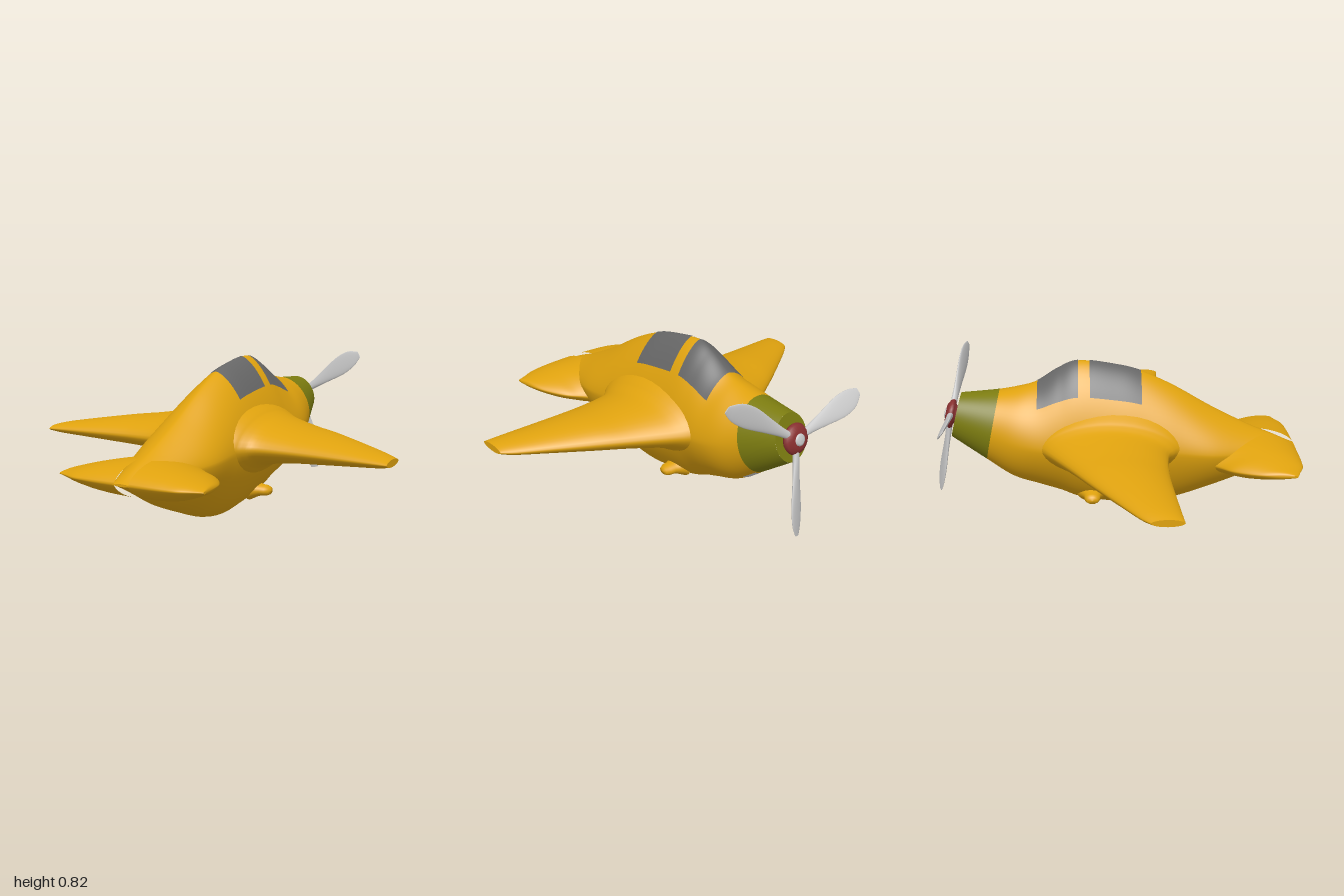
import * as THREE from 'three';
import { mergeVertices, mergeGeometries } from 'three/addons/utils/BufferGeometryUtils.js';

const mat = (color) => new THREE.MeshStandardMaterial({ color });
const yellow = mat(0xdfa20e), olive = mat(0x7c7c10), glass = mat(0x666666);
const red = mat(0x8a3030), grey = mat(0xcccccc);

// Smooth grid surface from fn(u, v) -> Vector3
function surface(fn, nu, nv) {
  const pos = [], idx = [], row = nv + 1;
  for (let i = 0; i <= nu; i++) for (let j = 0; j <= nv; j++) pos.push(...fn(i / nu, j / nv).toArray());
  for (let i = 0; i < nu; i++) for (let j = 0; j < nv; j++) {
    const a = i * row + j;
    idx.push(a, a + 1, a + row, a + 1, a + row + 1, a + row);
  }
  let g = new THREE.BufferGeometry();
  g.setAttribute('position', new THREE.Float32BufferAttribute(pos, 3));
  g.setIndex(idx);
  g = mergeVertices(g, 1e-5);
  g.computeVertexNormals();
  return g;
}

// Smooth interpolation of table rows at fractional row s
function sample(rows, s) {
  const n = rows.length - 1, i = Math.min(Math.floor(s), n - 1), t = s - i;
  const at = (k) => rows[Math.max(0, Math.min(n, k))];
  return rows[0].map((_, c) => {
    const p0 = at(i - 1)[c], p1 = at(i)[c], p2 = at(i + 1)[c], p3 = at(i + 2)[c];
    return p1 + 0.5 * t * (p2 - p0 + t * (2 * p0 - 5 * p1 + 4 * p2 - p3 + t * (3 * (p1 - p2) + p3 - p0)));
  });
}
const spow = (v, e) => Math.sign(v) * Math.pow(Math.abs(v), e);

function add(parent, name, geometry, material) {
  const m = new THREE.Mesh(geometry, material);
  m.name = name;
  parent.add(m);
  return m;
}

// Fuselage stations: zTop, zBottom, yTop, yBottom, halfWidth, yWidest, roundness
const BODY = [
  [-0.81, -0.87, 0.645, 0.41, 0.105, 0.525, 2],
  [-0.61, -0.69, 0.66, 0.28, 0.165, 0.47, 1.95],
  [-0.5, -0.55, 0.68, 0.18, 0.207, 0.43, 1.8],
  [-0.41, -0.41, 0.71, 0.125, 0.224, 0.41, 1.62],
  [-0.3, -0.3, 0.78, 0.085, 0.225, 0.4, 1.55],
  [-0.19, -0.19, 0.82, 0.04, 0.225, 0.395, 1.55],
  [0, 0, 0.795, 0.008, 0.225, 0.39, 1.55],
  [0.13, 0.13, 0.76, 0, 0.225, 0.385, 1.55],
  [0.3, 0.3, 0.68, 0.03, 0.225, 0.38, 1.55],
  [0.5, 0.5, 0.56, 0.1, 0.215, 0.36, 1.55],
  [0.7, 0.7, 0.455, 0.18, 0.155, 0.345, 1.55],
  [0.85, 0.85, 0.39, 0.262, 0.095, 0.335, 1.6],
  [0.96, 0.96, 0.335, 0.322, 0.05, 0.329, 1.7],
];

// Point on the fuselage; grow > 1 lifts it off the skin
function bodyPoint(s, a, grow = 1) {
  const [zt, zb, yt, yb, w, ym, e] = sample(BODY, s);
  const x = w * spow(Math.cos(a), 2 / e), f = spow(Math.sin(a), 2 / e);
  const y = ym + f * (f > 0 ? yt - ym : ym - yb);
  const z = THREE.MathUtils.lerp(zb, zt, (y - yb) / (yt - yb));
  return new THREE.Vector3(x * grow, ym + (y - ym) * grow, z);
}
const bodyPatch = (s0, s1, a0, a1, grow, nu, nv) => surface((u, v) =>
  bodyPoint(s0 + (s1 - s0) * u, THREE.MathUtils.degToRad(a0 + (a1 - a0) * v), grow), nu, nv);

// Wing-like loft. Stations: x, zFront, zBack, halfThickness, yCentre, yTrailing
function foil(rows, side, sharp) {
  const point = (u, v) => {
    const [x, zf, zb, h, yc, yt] = sample(rows, u * (rows.length - 1));
    const a = -side * v * Math.PI * 2, c = Math.cos(a);
    const y = THREE.MathUtils.lerp(yc, yt, (c + 1) / 2) + h * spow(Math.sin(a), sharp);
    return new THREE.Vector3(side * x, y, (zf + zb) / 2 + c * (zb - zf) / 2);
  };
  const centre = point(1, 0).lerp(point(1, 0.5), 0.5);
  return mergeGeometries([
    surface(point, 40, 36),
    surface((u, v) => point(1, v).lerp(centre, u), 1, 36), // tip cap
  ]);
}

const WING = [
  [0.08, -0.45, 0.42, 0.24, 0.4, 0.4],
  [0.2, -0.4, 0.34, 0.165, 0.41, 0.4],
  [0.24, -0.375, 0.3, 0.138, 0.41, 0.4],
  [0.3, -0.335, 0.262, 0.115, 0.41, 0.4],
  [0.45, -0.24, 0.25, 0.09, 0.41, 0.4],
  [0.6, -0.15, 0.252, 0.074, 0.41, 0.4],
  [0.8, -0.02, 0.265, 0.05, 0.405, 0.4],
  [0.94, 0.075, 0.275, 0.032, 0.4, 0.4],
  [1, 0.125, 0.28, 0.018, 0.4, 0.4],
];
const TAIL = [
  [0.04, 0.4, 0.96, 0.1, 0.3, 0.33],
  [0.14, 0.46, 0.96, 0.088, 0.295, 0.33],
  [0.22, 0.535, 0.957, 0.072, 0.3, 0.33],
  [0.29, 0.59, 0.95, 0.052, 0.31, 0.33],
  [0.35, 0.68, 0.925, 0.032, 0.32, 0.33],
  [0.385, 0.765, 0.911, 0.018, 0.328, 0.33],
  [0.402, 0.88, 0.904, 0.006, 0.33, 0.33],
];
const BLADE = [
  [0.03, -0.02, 0.02, 0.016, 0, 0],
  [0.1, -0.022, 0.022, 0.015, 0, 0],
  [0.2, -0.036, 0.036, 0.012, 0, 0],
  [0.33, -0.055, 0.055, 0.01, 0, 0],
  [0.42, -0.05, 0.046, 0.007, 0, 0],
  [0.48, -0.028, 0.01, 0.003, 0, 0],
];

function lathe(points) {
  return new THREE.LatheGeometry(points.map(([r, y]) => new THREE.Vector2(r, y)), 28);
}

export function createModel() {
  const plane = new THREE.Group();
  plane.name = 'airplane';

  // Fuselage, closed at the tail
  const end = BODY.length - 1;
  const ring = (s, v) => bodyPoint(s, v * Math.PI * 2);
  const middle = (s) => ring(s, 0.25).lerp(ring(s, 0.75), 0.5);
  add(plane, 'fuselage', bodyPatch(1, end, 0, 360, 1, 80, 72), yellow);
  add(plane, 'tailEnd', surface((u, v) => ring(end, v).lerp(middle(end), u), 1, 48), yellow);

  // Engine cowl and its front plate
  add(plane, 'cowl', bodyPatch(0, 1, 0, 360, 1, 12, 72), olive);
  add(plane, 'cowlFront', surface((u, v) => middle(0).lerp(ring(0, v), u), 1, 48), olive);

  // Canopy panes and belly vent lie just above the skin
  add(plane, 'frontCanopy', bodyPatch(3, 4.95, 45, 135, 1.008, 16, 32), glass);
  add(plane, 'rearCanopy', bodyPatch(5.3, 7, 45, 135, 1.008, 16, 32), glass);
  add(plane, 'bellyVent', bodyPatch(1.06, 1.65, 248, 292, 1.01, 6, 12), grey);

  // Mirrored wings, tailplanes and side stubs
  for (const side of [1, -1]) {
    const label = side > 0 ? 'left' : 'right';
    add(plane, label + 'Wing', foil(WING, side, 1.15), yellow);
    add(plane, label + 'Tailplane', foil(TAIL, side, 1.35), yellow);
    const stub = add(plane, label + 'Stub', lathe([
      [0.06, 0.07], [0.042, 0.105], [0.031, 0.135], [0.029, 0.165], [0.02, 0.186], [0, 0.192]]), yellow);
    stub.rotation.z = -side * Math.PI / 2;
    stub.scale.z = 1.4;
    stub.position.set(0, 0.1, -0.13);
  }

  // Propeller, tilted back with the nose
  const propeller = new THREE.Group();
  propeller.name = 'propeller';
  propeller.position.set(0, 0.525, -0.84);
  propeller.rotation.x = 0.21;
  plane.add(propeller);
  const hub = add(propeller, 'hub', lathe([
    [0.045, -0.01], [0.05, 0.01], [0.072, 0.016], [0.078, 0.028], [0.07, 0.042], [0.045, 0.056], [0, 0.057]]), red);
  const boss = add(propeller, 'hubCap', lathe([[0.032, 0.04], [0.03, 0.06], [0.02, 0.064], [0, 0.065]]), grey);
  hub.rotation.x = boss.rotation.x = -Math.PI / 2;
  for (const angle of [35, 170, 278]) {
    const arm = new THREE.Group();
    arm.name = 'bladeArm';
    arm.position.z = -0.03;
    arm.rotation.z = THREE.MathUtils.degToRad(angle);
    add(arm, 'blade', foil(BLADE, 1, 1), grey).rotation.x = -1.95;
    propeller.add(arm);
  }
  return plane;
}
